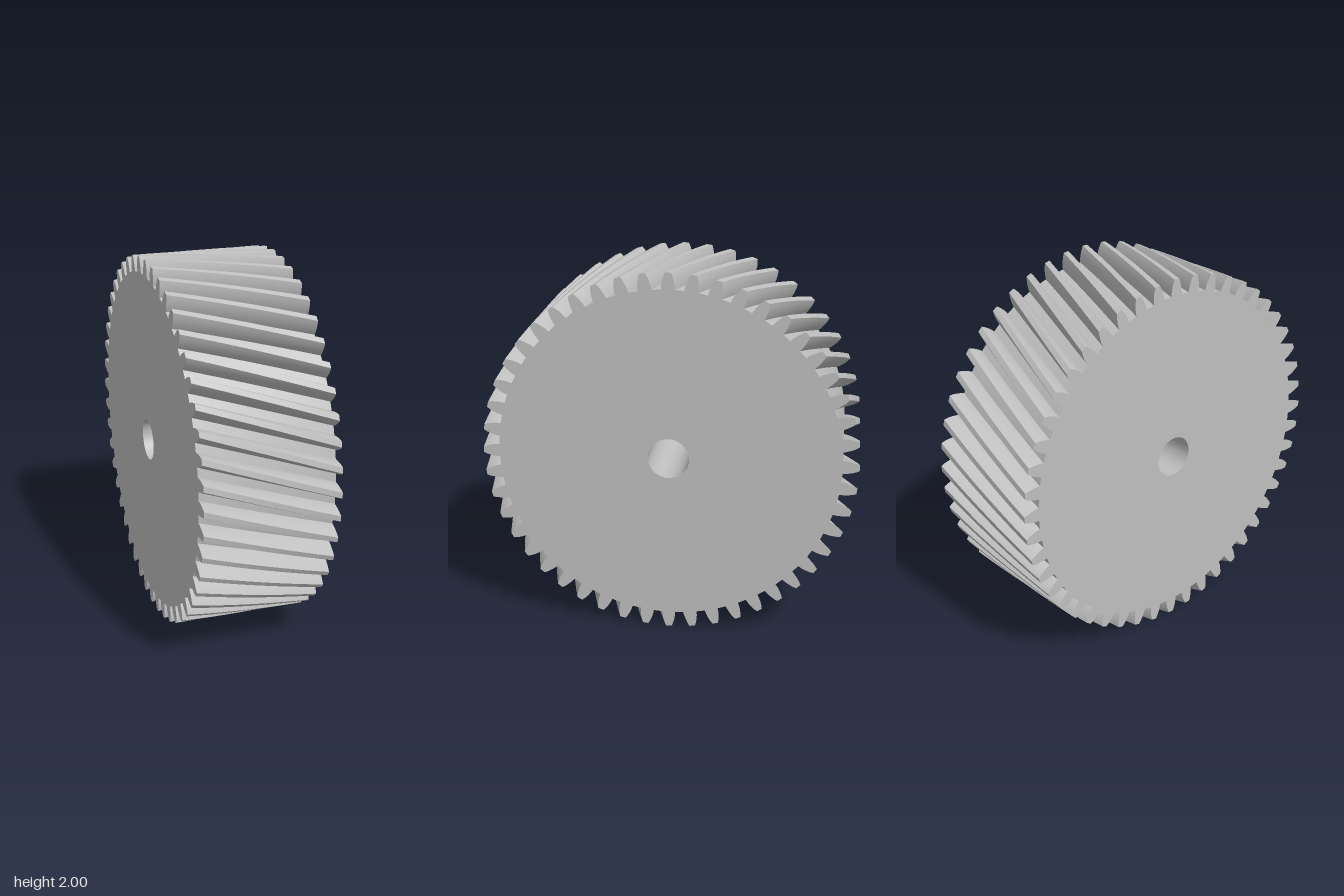
import * as THREE from 'three';
import { toCreasedNormals } from 'three/addons/utils/BufferGeometryUtils.js';

const TEETH = 48;
const WIDTH = 0.714;
const BORE = 0.11;
const TWIST = THREE.MathUtils.degToRad(15);

// Half of one tooth: [radius, half angle in degrees], root to tip
const FLANK = [[0.913, 2.25], [0.935, 2.12], [0.96, 1.78], [0.982, 1.36], [1, 0.88]];

// Transverse gear outline with a tooth at the top
function gearShape() {
  const points = [];
  const add = (radius, angle) =>
    points.push(new THREE.Vector2(radius * Math.cos(angle), radius * Math.sin(angle)));
  for (let i = 0; i < TEETH; i++) {
    const centre = (i / TEETH) * Math.PI * 2;
    FLANK.forEach(([r, a]) => add(r, centre - THREE.MathUtils.degToRad(a)));
    [...FLANK].reverse().forEach(([r, a]) => add(r, centre + THREE.MathUtils.degToRad(a)));
  }
  const shape = new THREE.Shape(points);
  shape.holes.push(new THREE.Path().absarc(0, 0, BORE, 0, Math.PI * 2, true));
  return shape;
}

// Rotate each slice in proportion to its depth to make helical teeth
function twist(geometry) {
  const pos = geometry.attributes.position;
  for (let i = 0; i < pos.count; i++) {
    const x = pos.getX(i), y = pos.getY(i);
    const angle = TWIST * (pos.getZ(i) / WIDTH - 1);
    const c = Math.cos(angle), s = Math.sin(angle);
    pos.setXY(i, x * c - y * s, x * s + y * c);
  }
  return geometry;
}

export function createModel() {
  const group = new THREE.Group();
  group.name = 'helicalGear';

  const steel = new THREE.MeshStandardMaterial({ color: 0xbfbfbf });
  steel.name = 'steelGrey';

  // Toothed wheel with bore, its axle along x
  const extruded = new THREE.ExtrudeGeometry(gearShape(), {
    depth: WIDTH, steps: 16, curveSegments: 32, bevelEnabled: false,
  });
  const geometry = toCreasedNormals(twist(extruded), 0.5);
  geometry.translate(0, 0, -WIDTH / 2);
  geometry.rotateY(Math.PI / 2);
  geometry.clearGroups();

  const wheel = new THREE.Mesh(geometry, steel);
  wheel.name = 'gearWheel';
  wheel.position.y = 1;
  group.add(wheel);
  return group;
}
